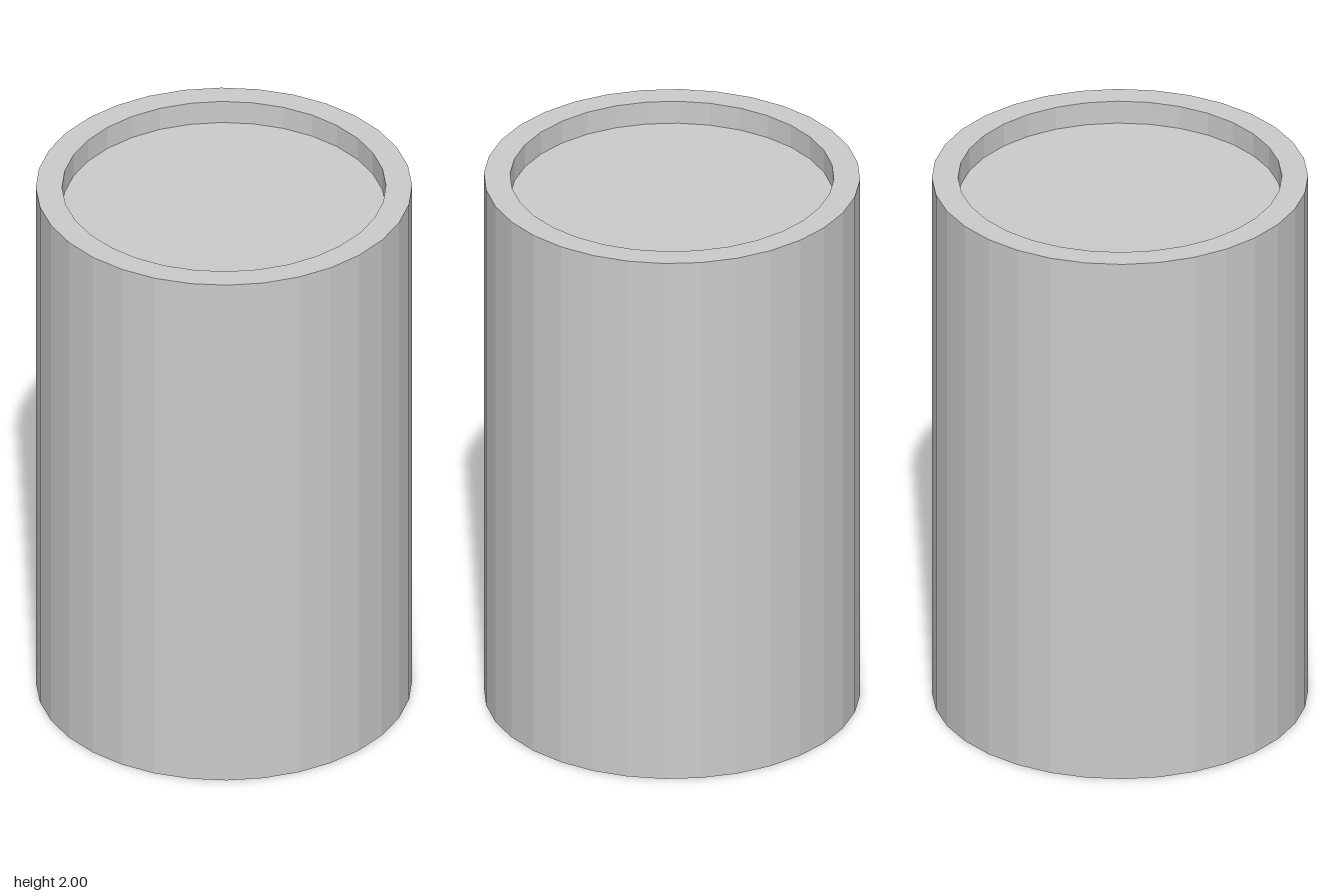
import * as THREE from 'three';

const SIDES = 32;
const FLOOR_Y = 0.05;

export function createModel() {
  const group = new THREE.Group();
  const solid = new THREE.MeshStandardMaterial({ color: 0xcccccc, flatShading: true });
  const inner = new THREE.MeshStandardMaterial({ color: 0xcccccc, side: THREE.DoubleSide });

  const add = (name, geometry, material) => {
    const mesh = new THREE.Mesh(geometry, material);
    mesh.name = name;
    group.add(mesh);
    return mesh;
  };

  // Outer wall with a bevelled underside and a recessed top
  const profile = [
    [0.594, FLOOR_Y], [0.647, 0], [0.647, 2],
    [0.557, 2], [0.557, 1.915], [0, 1.915],
  ].map(([r, y]) => new THREE.Vector2(r, y));
  add('body', new THREE.LatheGeometry(profile, SIDES), solid);

  // Underside plate with an off-centre oval hole
  const hole = { x: 0.32, rx: 0.13, rz: 0.1, depth: 0.2 };
  const plate = new THREE.Shape().absarc(0, 0, 0.594, 0, Math.PI * 2);
  plate.holes.push(new THREE.Path().absellipse(hole.x, 0, hole.rx, hole.rz, 0, Math.PI * 2));
  const plateGeometry = new THREE.ShapeGeometry(plate, SIDES / 2).rotateX(Math.PI / 2);
  add('basePlate', plateGeometry, solid).position.y = FLOOR_Y;

  // Wall and closed end of the hole
  const wall = new THREE.CylinderGeometry(1, 1, hole.depth, SIDES, 1, true);
  wall.scale(hole.rx, 1, hole.rz);
  add('holeWall', wall, inner).position.set(hole.x, FLOOR_Y + hole.depth / 2, 0);

  const end = new THREE.CircleGeometry(1, SIDES).rotateX(Math.PI / 2);
  end.scale(hole.rx, 1, hole.rz);
  add('holeEnd', end, inner).position.set(hole.x, FLOOR_Y + hole.depth, 0);

  return group;
}
